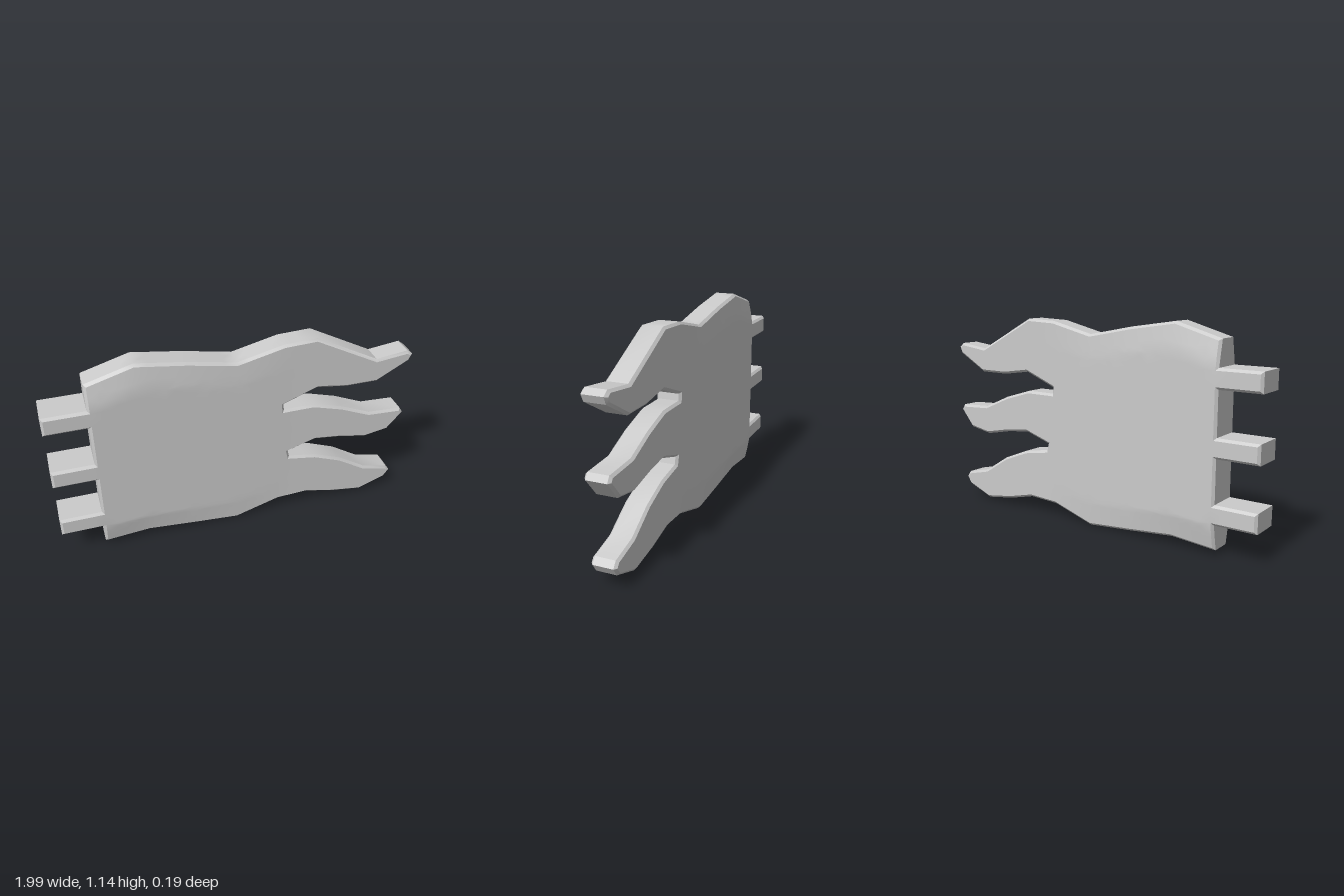
import * as THREE from 'three';
import { toCreasedNormals } from 'three/addons/utils/BufferGeometryUtils.js';

const clamp = THREE.MathUtils.clamp;
const EDGE = 0.067;   // half thickness around the rim and in the fingers
const THICK = 0.095;  // half thickness at the hinge side
const BEVEL = 0.013;

// lower and upper rim of the palm, hinge side to fingers
const lower = [[-0.77, 0.03], [-0.52, 0.05], [-0.26, 0.025], [0, 0.003], [0.25, 0.08], [0.43, 0.088]];
const upper = [[-0.77, 1.075], [-0.52, 1.148], [-0.26, 1.11], [0, 1.06], [0.25, 1.12], [0.43, 1.127]];

// three pointed fingers and the two gaps between them, from bottom to top
const fingers = [
  [0.6, 0.047], [0.78, 0.02], [0.94, 0.08], [0.97, 0.125], [0.945, 0.158], [0.79, 0.195], [0.63, 0.295], [0.47, 0.358],
  [0.31, 0.385], [0.3, 0.425], [0.46, 0.475], [0.61, 0.457],
  [0.77, 0.425], [0.91, 0.45], [0.995, 0.55], [0.975, 0.582], [0.78, 0.592], [0.61, 0.665], [0.44, 0.716],
  [0.265, 0.716], [0.26, 0.752], [0.45, 0.825], [0.62, 0.8],
  [0.8, 0.8], [0.98, 0.9], [0.997, 0.938], [0.965, 0.962], [0.785, 0.94]
];

// square hinge tabs, from top to bottom
const tabs = [0.888, 0.552, 0.219].flatMap(y => [
  [-0.77, y + 0.052], [-0.997, y + 0.052], [-0.997, y - 0.052], [-0.77, y - 0.052]
]);

// height of a rim at x
function rimAt(rim, x) {
  x = clamp(x, rim[0][0], rim[rim.length - 1][0]);
  const i = Math.max(1, rim.findIndex(p => p[0] >= x));
  const [a, b] = [rim[i - 1], rim[i]];
  return a[1] + (b[1] - a[1]) * (x - a[0]) / (b[0] - a[0]);
}

// half thickness: full at the hinge, fading toward the fingers and the upper and lower rims
function halfThickness(x, y) {
  const along = clamp((0.32 - x) / 1.09, 0, 1);
  const inset = Math.min(rimAt(upper, x) - y, y - rimAt(lower, x));
  return EDGE + (THICK - EDGE) * along * clamp(inset / 0.13, 0, 1);
}

// halve long palm edges until the faces are fine enough to bend
function subdivide(geometry, maxLength) {
  const p = geometry.attributes.position;
  const out = [], stack = [];
  for (let i = 0; i < p.count; i += 3) {
    stack.push([0, 1, 2].map(k => new THREE.Vector3().fromBufferAttribute(p, i + k)));
  }
  while (stack.length) {
    const t = stack.pop();
    let longest = maxLength, edge = -1;
    for (let k = 0; k < 3; k++) {
      const a = t[k], b = t[(k + 1) % 3], d = a.distanceTo(b);
      if (d > longest && Math.min(a.x, b.x) < 0.32) { longest = d; edge = k; }
    }
    if (edge < 0) {
      t.forEach(v => out.push(v.x, v.y, v.z));
      continue;
    }
    const a = t[edge], b = t[(edge + 1) % 3], c = t[(edge + 2) % 3];
    const m = a.clone().add(b).multiplyScalar(0.5);
    stack.push([a, m, c], [m, b, c]);
  }
  const result = new THREE.BufferGeometry();
  result.setAttribute('position', new THREE.Float32BufferAttribute(out, 3));
  return result;
}

export function createModel() {
  const outline = [...lower, ...fingers, ...[...upper].reverse(), ...tabs];
  const shape = new THREE.Shape(outline.map(([x, y]) => new THREE.Vector2(x, y)));
  const depth = 2 * (EDGE - BEVEL);
  const plate = new THREE.ExtrudeGeometry(shape, {
    depth, bevelEnabled: true, bevelSegments: 1,
    bevelSize: BEVEL, bevelThickness: BEVEL, bevelOffset: -BEVEL
  });
  plate.translate(0, 0, -depth / 2);

  // swell the palm and tabs
  const body = subdivide(plate, 0.09);
  const p = body.attributes.position;
  for (let i = 0; i < p.count; i++) {
    const swell = halfThickness(p.getX(i), p.getY(i)) - EDGE;
    p.setZ(i, p.getZ(i) + swell * clamp(p.getZ(i) / (depth / 2), -1, 1));
  }

  const mesh = new THREE.Mesh(
    toCreasedNormals(body, 0.55),
    new THREE.MeshStandardMaterial({ color: 0xcccccc })
  );
  mesh.name = 'fingeredHingePlate';

  const group = new THREE.Group();
  group.name = 'clawFoot';
  group.add(mesh);
  return group;
}
